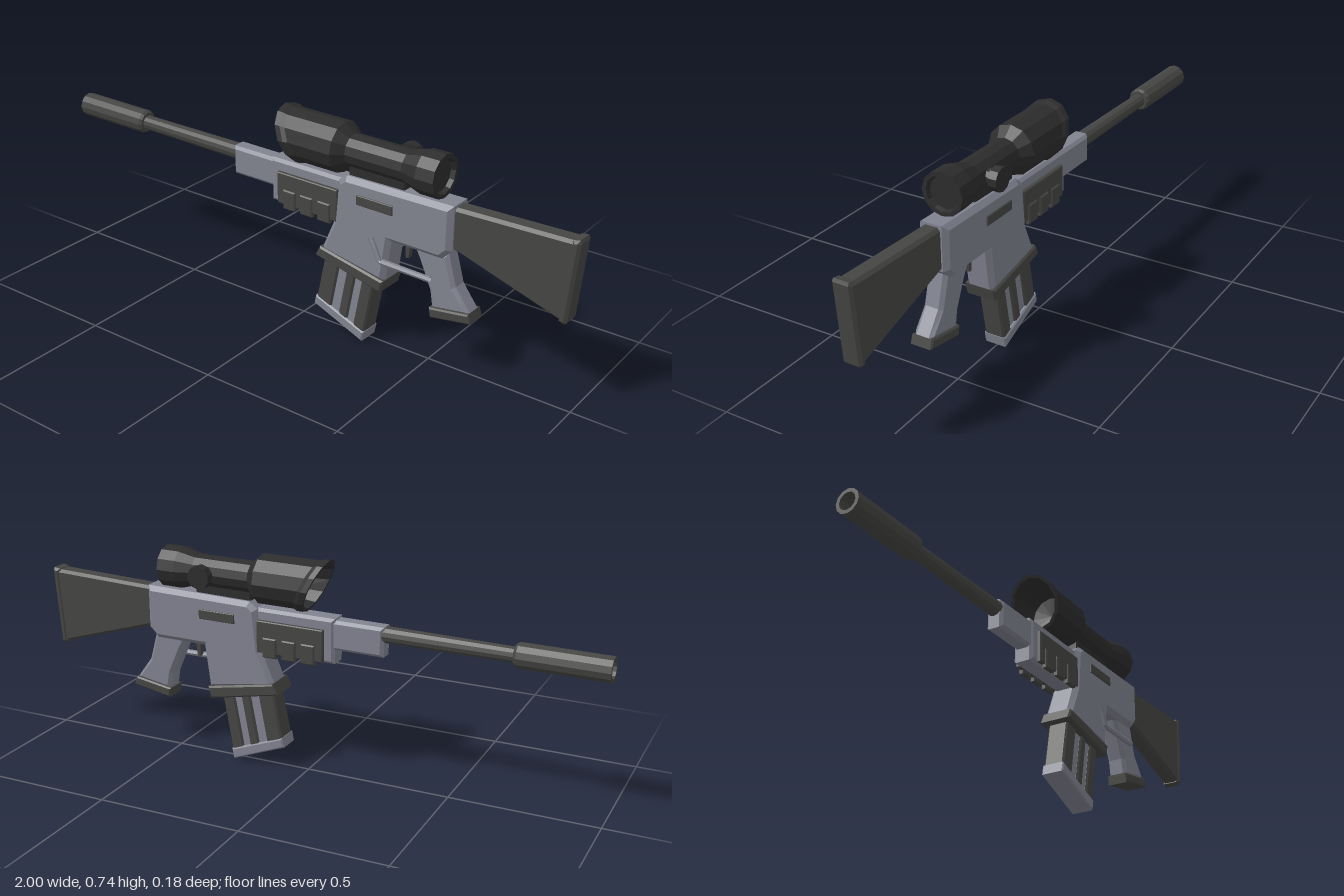
import * as THREE from 'three';

const mat = (color) => new THREE.MeshStandardMaterial({ color, flatShading: true, side: THREE.DoubleSide });

export function createModel() {
  const grey = mat(0x80828f), dark = mat(0x454543), black = mat(0x2c2c2c);
  const root = new THREE.Group();
  root.name = 'rifle';

  const add = (name, geometry, material) => {
    const mesh = new THREE.Mesh(geometry, material);
    mesh.name = name;
    root.add(mesh);
    return mesh;
  };

  // Side outline given as [x, y], extruded to +-half in z with chamfered edges
  const prism = (name, pts, half, bevel, material, z = 0) => {
    const shape = new THREE.Shape(pts.map(([x, y]) => new THREE.Vector2(x, y)));
    const geo = new THREE.ExtrudeGeometry(shape, {
      depth: 2 * (half - bevel), bevelEnabled: bevel > 0, bevelSegments: 1,
      bevelSize: bevel, bevelThickness: bevel, bevelOffset: -bevel,
    });
    geo.translate(0, 0, z - (half - bevel));
    return add(name, geo, material);
  };

  const rect = (x0, x1, y0, y1) => [[x0, y0], [x1, y0], [x1, y1], [x0, y1]];

  // Turned part along x; profile is [x, radius] from muzzle side to rear
  const turned = (profile, sides) => new THREE.LatheGeometry(
    profile.map(([x, r]) => new THREE.Vector2(r, x)), sides).rotateZ(-Math.PI / 2);

  // Barrel and hollow silencer
  add('barrel', turned([[-0.72, 0], [-0.72, 0.025], [-0.26, 0.028], [-0.26, 0]], 12).translate(0, 0.524, 0), dark);
  add('silencer', turned([
    [-0.93, 0], [-0.93, 0.027], [-1, 0.029], [-1, 0.041], [-0.71, 0.041], [-0.7, 0.034], [-0.7, 0],
  ], 12).translate(0, 0.525, 0), dark);

  // Forend
  prism('forendTip', rect(-0.275, -0.09, 0.452, 0.552), 0.03, 0.01, grey);
  prism('forend', rect(-0.107, 0.2, 0.405, 0.558), 0.036, 0.01, grey);
  for (const s of [1, -1]) {
    prism('forendPlate', rect(-0.072, 0.17, 0.41, 0.52), 0.009, 0.003, dark, s * 0.04);
    for (let i = 0; i < 3; i++) {
      const x = -0.045 + i * 0.07;
      prism('forendRidge', rect(x, x + 0.05, 0.397, 0.465), 0.01, 0.004, dark, s * 0.045);
    }
    prism('ejectionPort', rect(0.25, 0.385, 0.497, 0.53), 0.005, 0.002, dark, s * 0.052);
  }

  // Receiver with magazine well
  prism('receiver', [
    [0.107, 0.295], [0.355, 0.25], [0.375, 0.4], [0.56, 0.4], [0.593, 0.433],
    [0.593, 0.583], [0.2, 0.577], [0.17, 0.555], [0.155, 0.41],
  ], 0.052, 0.016, grey);
  prism('magazineWellBand', [[0.09, 0.27], [0.347, 0.216], [0.358, 0.258], [0.108, 0.307]], 0.057, 0.006, dark);

  // Magazine: grey core with dark vertical ribs
  const top = [[0.117, 0.275], [0.312, 0.235]], bottom = [[0.083, 0.1], [0.275, 0.03]];
  const mix = ([a, b], t) => [a[0] + (b[0] - a[0]) * t, a[1] + (b[1] - a[1]) * t];
  const slice = (a, b) => [mix(bottom, a), mix(bottom, b), mix(top, b), mix(top, a)];
  prism('magazineCore', slice(0.02, 0.98), 0.03, 0, grey);
  for (const [a, b] of [[0, 0.3], [0.46, 0.64], [0.77, 1]]) {
    prism('magazineRib', slice(a, b), 0.037, 0.006, dark);
  }
  prism('magazineBase', [[0.075, 0.078], [0.27, 0], [0.278, 0.037], [0.082, 0.112]], 0.041, 0.005, grey);

  // Grip and cap
  prism('grip', [
    [0.45, 0.415], [0.475, 0.36], [0.515, 0.27], [0.525, 0.21], [0.66, 0.235], [0.605, 0.31], [0.575, 0.415],
  ], 0.034, 0.012, grey);
  prism('gripCap', [[0.525, 0.182], [0.67, 0.207], [0.66, 0.238], [0.519, 0.216]], 0.039, 0.005, dark);

  // Trigger, and the guard rod fixed to the left side
  prism('trigger', [[0.408, 0.41], [0.412, 0.345], [0.421, 0.345], [0.43, 0.41]], 0.01, 0, dark);
  const guard = new THREE.CurvePath();
  const corners = [[0.308, 0.4], [0.322, 0.375], [0.343, 0.328], [0.53, 0.325]]
    .map(([x, y]) => new THREE.Vector3(x, y, 0.054));
  for (let i = 0; i < 3; i++) guard.add(new THREE.LineCurve3(corners[i], corners[i + 1]));
  add('triggerGuard', new THREE.TubeGeometry(guard, 24, 0.01, 6), grey);

  // Stock and butt plate
  prism('stock', [[0.58, 0.438], [0.97, 0.318], [0.985, 0.586], [0.58, 0.575]], 0.031, 0.01, dark);
  prism('buttPlate', [[0.953, 0.32], [0.973, 0.313], [0.98, 0.322], [1, 0.582], [0.995, 0.592], [0.972, 0.588]],
    0.035, 0.009, dark);

  // Scope: front rim is sheared into a slanted hood
  const scope = turned([
    [0.08, 0], [0.07, 0.068], [-0.035, 0.08], [-0.035, 0.091], [-0.015, 0.091], [0, 0.085],
    [0.165, 0.085], [0.2, 0.054], [0.41, 0.054], [0.47, 0.072], [0.535, 0.072],
    [0.535, 0.058], [0.52, 0.053], [0.52, 0],
  ], 12);
  const p = scope.attributes.position;
  for (let i = 0; i < p.count; i++) {
    if (p.getX(i) < 0.01) p.setX(i, p.getX(i) - p.getY(i) * 0.45);
  }
  add('scope', scope.translate(0, 0.652, 0), black);
  prism('scopeMount', rect(0.2, 0.41, 0.568, 0.615), 0.028, 0.004, black);
  const knob = (name, r, z0, z1) => add(name,
    new THREE.CylinderGeometry(r, r, z1 - z0, 10).rotateX(Math.PI / 2).translate(0.36, 0.652, (z0 + z1) / 2), black);
  knob('scopeKnobStem', 0.028, -0.075, -0.03);
  knob('scopeKnob', 0.04, -0.096, -0.066);

  // Slight yaw and sideways offset of the whole rifle
  root.rotation.y = -0.015;
  root.position.z = 0.002;
  return root;
}
